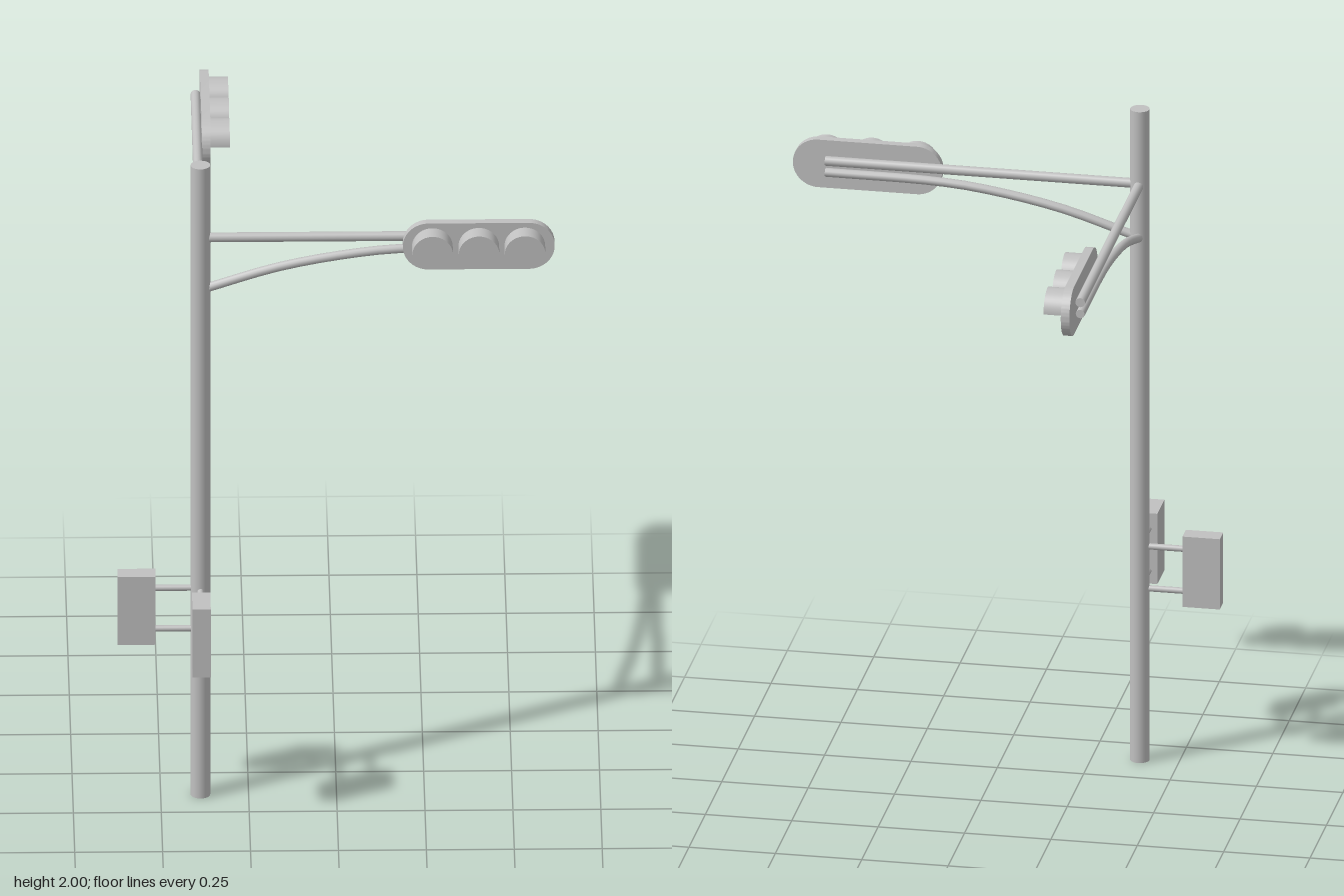
import * as THREE from 'three';
import { toCreasedNormals } from 'three/addons/utils/BufferGeometryUtils.js';

const metal = new THREE.MeshStandardMaterial({ color: 0xc0c0c0 });
metal.name = 'grey metal';
const sheet = new THREE.MeshStandardMaterial({ color: 0xc0c0c0, side: THREE.DoubleSide });
sheet.name = 'grey sheet metal';

function add(parent, name, geometry, x = 0, y = 0, z = 0, material = metal) {
  const mesh = new THREE.Mesh(geometry, material);
  mesh.name = name;
  mesh.position.set(x, y, z);
  parent.add(mesh);
  return mesh;
}

// Round bar lying along x from x0 to x1
function bar(parent, name, x0, x1, y, radius) {
  const geometry = new THREE.CylinderGeometry(radius, radius, x1 - x0, 16).rotateZ(Math.PI / 2);
  add(parent, name, geometry, (x0 + x1) / 2, y);
}

// Stadium-shaped plate, centred on x and y, back at z = 0
function plateGeometry(length, height, depth) {
  const r = height / 2, c = length / 2 - r;
  const shape = new THREE.Shape();
  shape.moveTo(-c, -r);
  shape.lineTo(c, -r);
  shape.absarc(c, 0, r, -Math.PI / 2, Math.PI / 2, false);
  shape.lineTo(-c, r);
  shape.absarc(-c, 0, r, Math.PI / 2, Math.PI * 1.5, false);
  const geometry = new THREE.ExtrudeGeometry(shape, { depth, bevelEnabled: false, curveSegments: 20 });
  return toCreasedNormals(geometry, 0.6);
}

// One direction of the post: signal arm along +x facing +z, control box along -x
function createSide() {
  const side = new THREE.Group();

  // Straight upper arm and curved brace
  bar(side, 'upperArm', 0, 0.91, 1.77, 0.014);
  const path = new THREE.CatmullRomCurve3([
    [0, 1.604], [0.23, 1.677], [0.46, 1.72], [0.6, 1.732], [0.91, 1.735],
  ].map(([x, y]) => new THREE.Vector3(x, y, 0)));
  add(side, 'curvedBrace', new THREE.TubeGeometry(path, 16, 0.013, 12));
  add(side, 'braceEnd', new THREE.CircleGeometry(0.013, 12).rotateY(Math.PI / 2), 0.91, 1.735);

  // Signal head with three half-round visors
  add(side, 'signalPlate', plateGeometry(0.432, 0.146, 0.025), 0.791, 1.755, 0.013);
  for (const x of [0.659, 0.791, 0.922]) {
    const visor = new THREE.CylinderGeometry(0.058, 0.058, 0.056, 24, 1, true, Math.PI / 2, Math.PI);
    add(side, 'visor', visor.rotateX(Math.PI / 2), x, 1.755, 0.065, sheet);
  }

  // Control box on two short pegs
  add(side, 'controlBox', new THREE.BoxGeometry(0.108, 0.216, 0.052), -0.182, 0.597, 0);
  for (const y of [0.528, 0.657]) bar(side, 'boxPeg', -0.13, 0, y, 0.009);
  return side;
}

export function createModel() {
  const model = new THREE.Group();
  model.name = 'trafficSignalPost';
  const post = new THREE.Group();
  post.name = 'post';
  post.position.set(-0.387, 0, 0.386);
  model.add(post);

  add(post, 'pole', new THREE.CylinderGeometry(0.028, 0.028, 2, 24), 0, 1, 0);

  // Two identical sides at a right angle
  ['frontSignal', 'sideSignal'].forEach((name, i) => {
    const side = createSide();
    side.name = name;
    side.rotation.y = i * Math.PI / 2;
    post.add(side);
  });
  return model;
}
